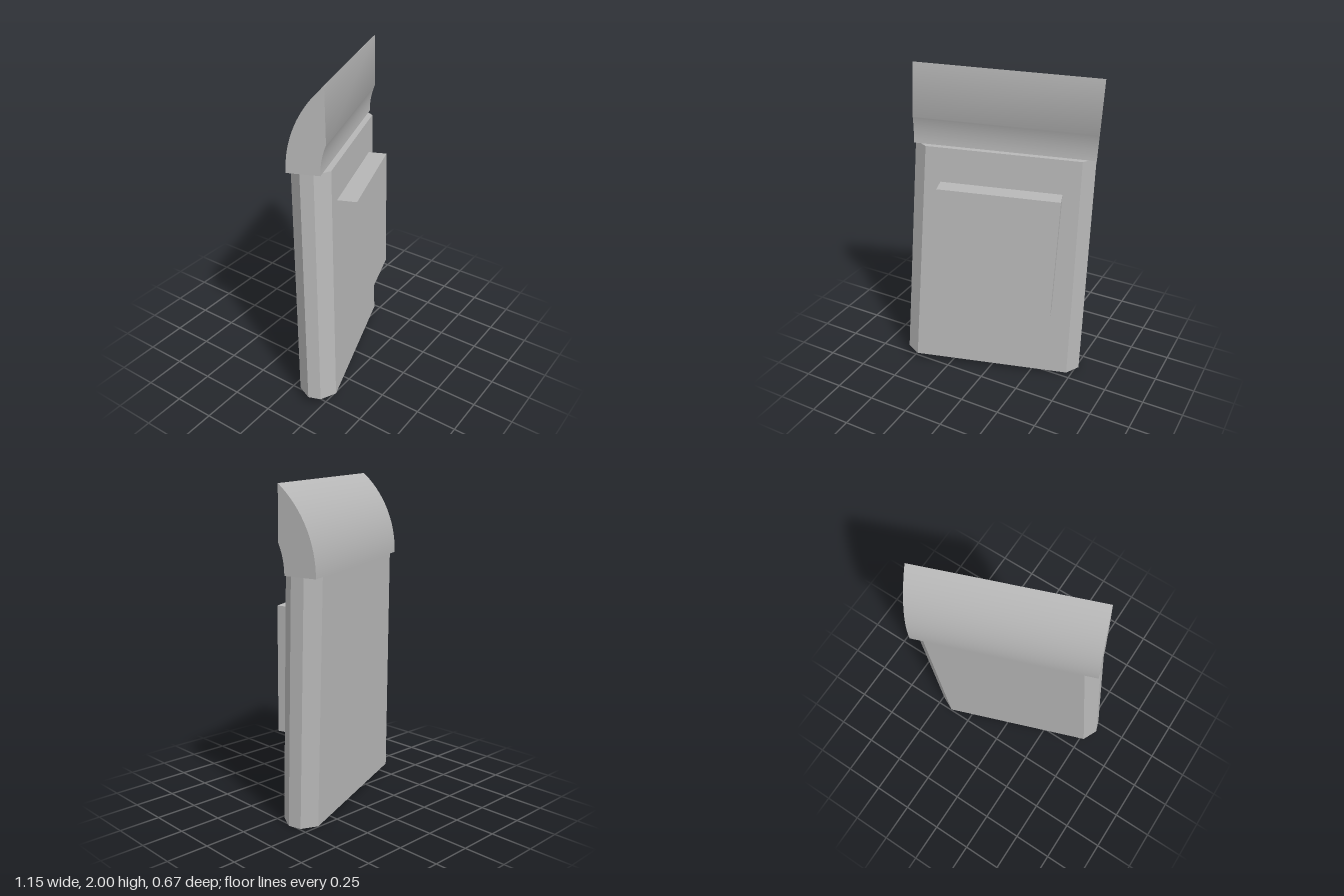
import * as THREE from 'three';
import { toCreasedNormals } from 'three/addons/utils/BufferGeometryUtils.js';

// Dimensions in the slab's own frame: x across, y up, z towards its face
const FRONT = 0.128, BACK = -0.1;
const BASE = 0.026, SHOULDER = 1.485, TOP = 1.972;
const CHAMFER = 0.075;

// Tapered slab with all four upright corners chamfered
function bodyGeometry() {
  const wide = 0.566, taper = 0.037;
  const shape = new THREE.Shape([
    [-wide, -FRONT + CHAMFER], [-wide + CHAMFER, -FRONT], [wide - CHAMFER, -FRONT], [wide, -FRONT + CHAMFER],
    [wide, -BACK - CHAMFER], [wide - CHAMFER, -BACK], [-wide + CHAMFER, -BACK], [-wide, -BACK - CHAMFER],
  ].map(([x, y]) => new THREE.Vector2(x, y)));
  const height = SHOULDER - BASE;
  const geometry = new THREE.ExtrudeGeometry(shape, { depth: height, bevelEnabled: false });
  geometry.rotateX(-Math.PI / 2);
  const p = geometry.attributes.position;
  for (let i = 0; i < p.count; i++) {
    p.setX(i, p.getX(i) - Math.sign(p.getX(i)) * taper * p.getY(i) / height);
  }
  geometry.translate(0, BASE, 0);
  geometry.computeVertexNormals();
  return geometry;
}

// Curved cap: two concentric arcs closed by an upright front face
function capGeometry() {
  const width = 1.063, centre = 0.535;
  const outer = centre - BACK, inner = 0.443;
  const shape = new THREE.Shape();
  shape.moveTo(-BACK, SHOULDER);
  shape.absarc(-centre, SHOULDER, outer, 0, Math.asin((TOP - SHOULDER) / outer), false);
  shape.lineTo(-FRONT, TOP);
  shape.absarc(-centre, SHOULDER, inner, Math.acos((centre - FRONT) / inner), 0, true);
  shape.closePath();
  const geometry = new THREE.ExtrudeGeometry(shape, { depth: width, bevelEnabled: false, curveSegments: 24 });
  geometry.translate(0, 0, -width / 2);
  geometry.rotateY(Math.PI / 2);
  return toCreasedNormals(geometry, Math.PI / 6);
}

export function createModel() {
  const grey = new THREE.MeshStandardMaterial({ color: 0xb8b8b8 });
  grey.name = 'grey';

  const model = new THREE.Group();
  model.name = 'slab';
  const tilted = new THREE.Group();
  tilted.name = 'tiltedSlab';
  model.add(tilted);

  const add = (name, geometry, x, y, z) => {
    const mesh = new THREE.Mesh(geometry, grey);
    mesh.name = name;
    mesh.position.set(x, y, z);
    tilted.add(mesh);
  };
  const middle = -0.036;
  add('body', bodyGeometry(), middle, 0, 0);
  add('curvedCap', capGeometry(), middle, 0, 0);
  // Raised panel, sunk slightly into the body
  add('frontPanel', new THREE.BoxGeometry(0.72, 0.765, 0.133), middle - 0.002, 0.889, 0.1755);

  // The whole slab is turned and leans back
  const across = new THREE.Vector3(0.943, -0.047, -0.33).normalize();
  const up = new THREE.Vector3(0.0317, 0.9983, -0.0499);
  const out = new THREE.Vector3().crossVectors(across, up).normalize();
  up.crossVectors(out, across);
  tilted.quaternion.setFromRotationMatrix(new THREE.Matrix4().makeBasis(across, up, out));
  return model;
}
